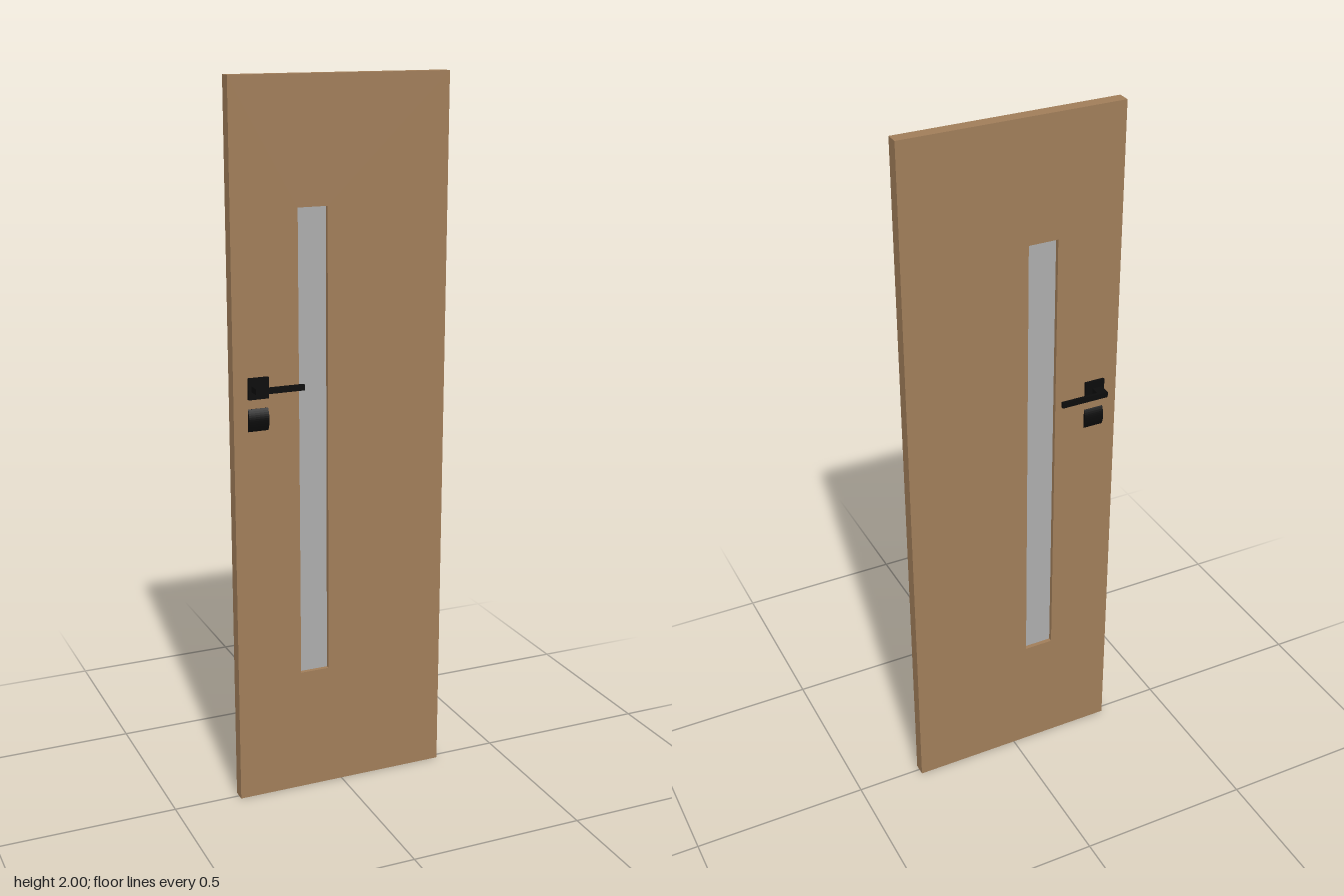
import * as THREE from 'three';

export function createModel() {
  const wood = new THREE.MeshStandardMaterial({ name: 'wood', color: 0xa07d59 });
  const glass = new THREE.MeshStandardMaterial({ name: 'frosted glass', color: 0xacacac });
  const black = new THREE.MeshStandardMaterial({ name: 'black metal', color: 0x0b0b0b });

  const model = new THREE.Group();
  model.name = 'door';

  const add = (parent, name, geometry, material) => {
    const mesh = new THREE.Mesh(geometry, material);
    mesh.name = name;
    parent.add(mesh);
    return mesh;
  };
  // Box given by its limits on each axis
  const box = (parent, name, material, [x0, x1], [y0, y1], [z0, z1]) =>
    add(parent, name, new THREE.BoxGeometry(x1 - x0, y1 - y0, z1 - z0), material)
      .position.set((x0 + x1) / 2, (y0 + y1) / 2, (z0 + z1) / 2);
  const rectangle = (path, x0, x1, y0, y1) =>
    path.moveTo(x0, y0).lineTo(x1, y0).lineTo(x1, y1).lineTo(x0, y1).closePath();

  // Door leaf with a tall narrow window opening
  const back = -0.019, front = 0.017;
  const outline = new THREE.Shape();
  rectangle(outline, -0.31, 0.31, 0, 2);
  const opening = new THREE.Path();
  rectangle(opening, -0.124, -0.04, 0.355, 1.663);
  outline.holes.push(opening);
  const leaf = new THREE.ExtrudeGeometry(outline, { depth: front - back, bevelEnabled: false });
  leaf.translate(0, 0, back);
  add(model, 'doorLeaf', leaf, wood);

  // Recessed pane
  box(model, 'windowPane', glass, [-0.124, -0.04], [0.355, 1.663], [-0.007, 0.005]);

  // Lock cover with a face curved from top to bottom
  const curve = new THREE.Shape();
  curve.moveTo(0, 1.077);
  curve.lineTo(0.018, 1.077);
  curve.quadraticCurveTo(0.036, 1.108, 0.018, 1.139);
  curve.lineTo(0, 1.139);
  curve.closePath();

  // Matching handle sets on both faces
  for (const side of [1, -1]) {
    const set = new THREE.Group();
    set.name = side > 0 ? 'frontHandle' : 'backHandle';
    const span = (a, b) => (side > 0 ? [a, b] : [-b, -a]);
    box(set, 'rosette', black, [-0.27, -0.213], [1.166, 1.224], span(0.012, 0.0265));
    box(set, 'stem', black, [-0.262, -0.234], [1.187, 1.203], span(0.02, 0.061));
    box(set, 'lever', black, [-0.262, -0.125], [1.187, 1.203], span(0.052, 0.061));

    const cover = new THREE.ExtrudeGeometry(curve, { depth: 0.057, bevelEnabled: false, curveSegments: 12 });
    // Turn the profile so it bulges outwards from the door face
    cover.rotateY(-side * Math.PI / 2);
    cover.translate(side > 0 ? -0.213 : -0.27, 0, 0);
    add(set, 'lockCover', cover, black);
    model.add(set);
  }
  return model;
}
